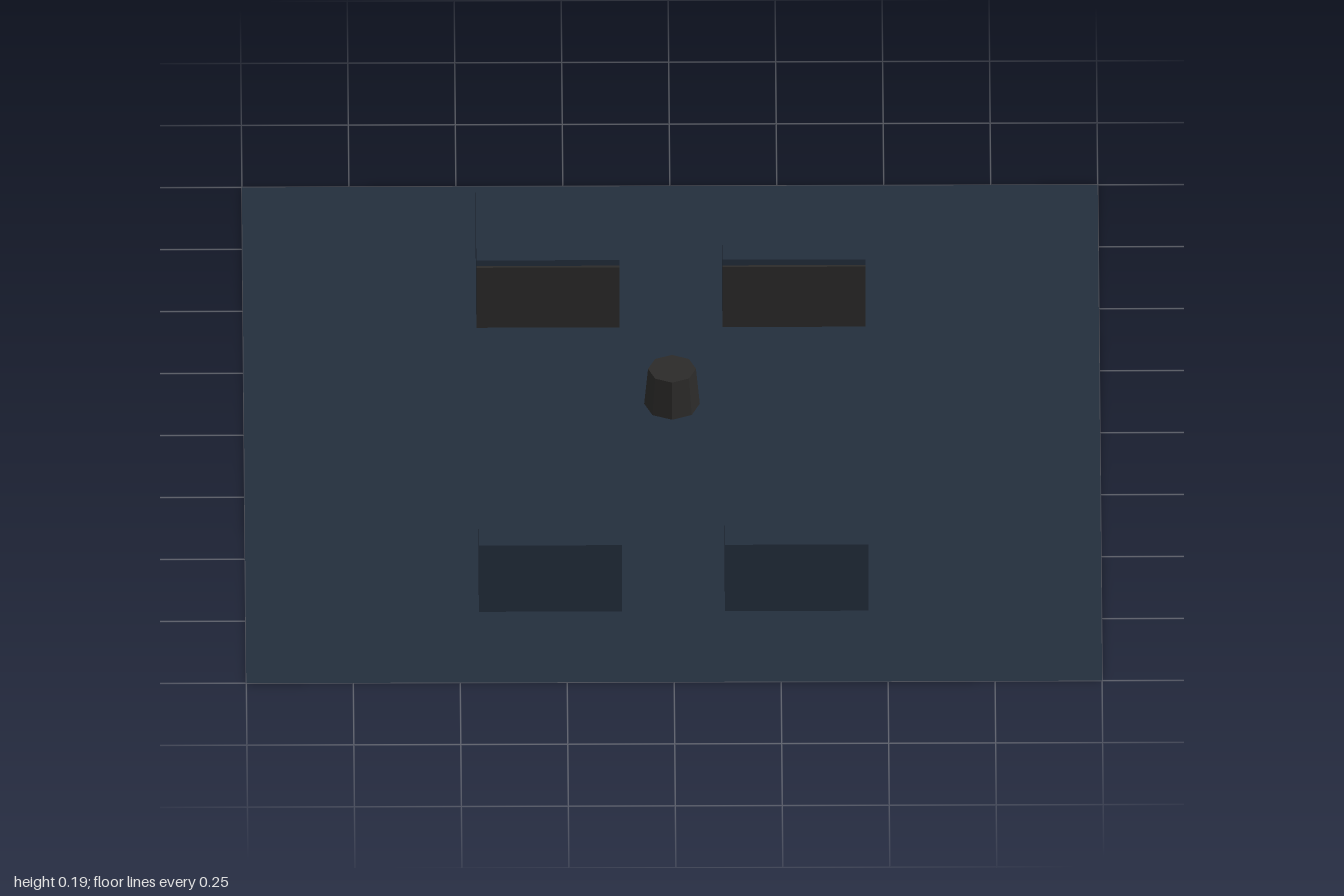
import * as THREE from 'three';

export function createModel() {
  const model = new THREE.Group();
  const navy = new THREE.MeshStandardMaterial({ color: 0x232e3c, side: THREE.DoubleSide });
  navy.name = 'navy';
  const charcoal = new THREE.MeshStandardMaterial({ color: 0x2b2a29, flatShading: true });
  charcoal.name = 'charcoal';

  const add = (parent, name, geometry, material, x, y, z) => {
    const mesh = new THREE.Mesh(geometry, material);
    mesh.name = name;
    mesh.position.set(x, y, z);
    parent.add(mesh);
    return mesh;
  };

  // Flat floor sheet, visible from both sides
  add(model, 'floor', new THREE.PlaneGeometry(2, 2).rotateX(-Math.PI / 2), navy, 0, 0, 0);

  // Four blocks, each with a dark panel facing the middle
  const width = 0.335, height = 0.19, depth = 0.28;
  const blockGeometry = new THREE.BoxGeometry(width, height, depth);
  const panelGeometry = new THREE.BoxGeometry(width, 0.172, 0.008);
  for (const sz of [-1, 1]) {
    for (const sx of [-1, 1]) {
      const block = new THREE.Group();
      block.name = (sz > 0 ? 'front' : 'back') + (sx > 0 ? 'Left' : 'Right') + 'Block';
      block.position.set(sx * 0.2875, 0, sz * 0.575);
      add(block, 'blockBody', blockGeometry, navy, 0, height / 2, 0);
      add(block, 'innerPanel', panelGeometry, charcoal, 0, 0.088, -sz * (depth / 2 + 0.003));
      model.add(block);
    }
  }

  // Small tapered eight-sided hub hovering above the centre
  add(model, 'centreHub', new THREE.CylinderGeometry(0.056, 0.065, 0.1, 8), charcoal, 0, 0.137, 0);

  return model;
}
